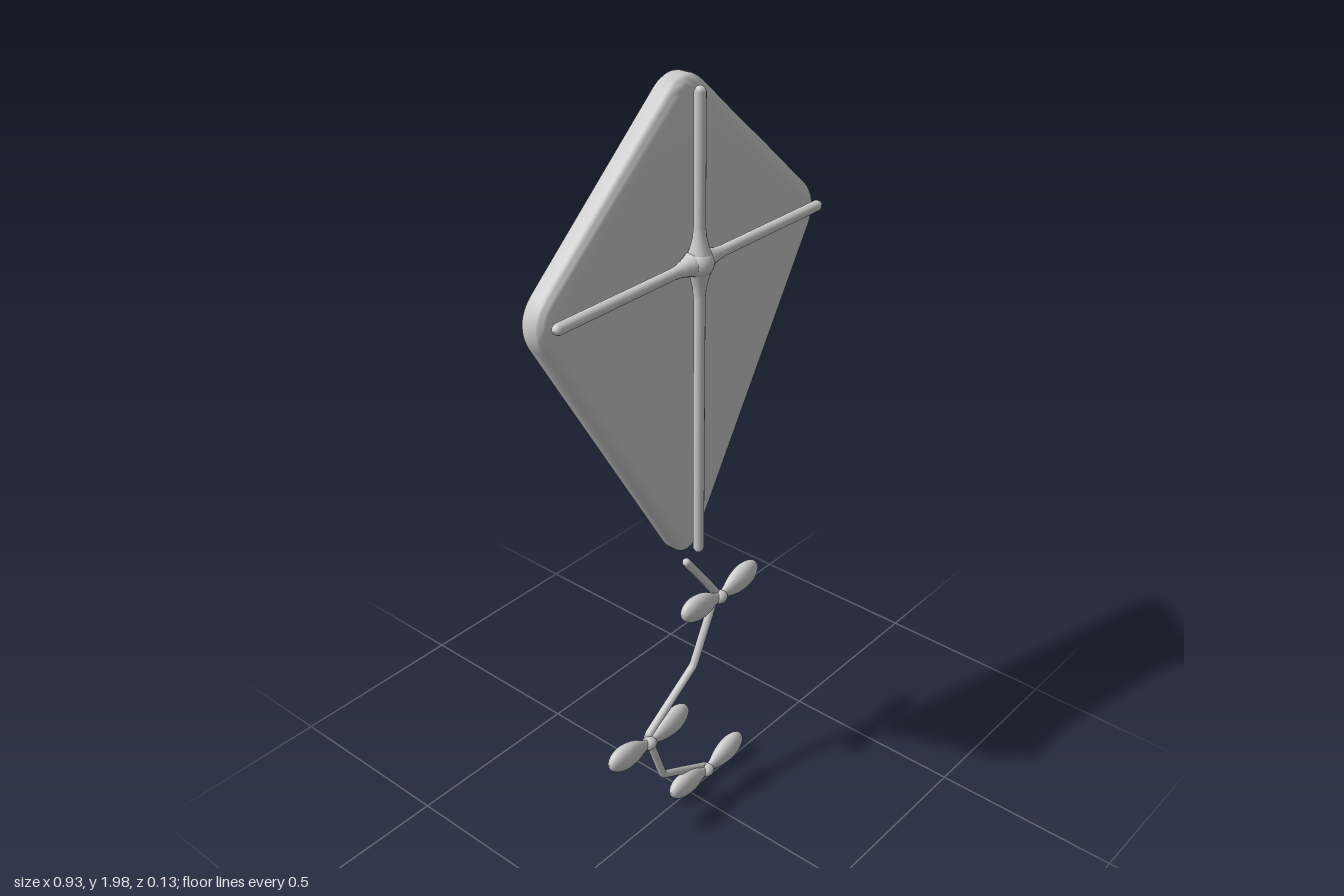
import * as THREE from 'three';
import { toCreasedNormals } from 'three/addons/utils/BufferGeometryUtils.js';

const V2 = (x, y) => new THREE.Vector2(x, y);
const V3 = (x, y, z) => new THREE.Vector3(x, y, z);

export function createModel() {
  const grey = new THREE.MeshStandardMaterial({ color: 0xcccccc });
  grey.name = 'light grey';
  const group = new THREE.Group();
  group.name = 'kite';

  const add = (name, geometry, parent = group) => {
    const mesh = new THREE.Mesh(geometry, grey);
    mesh.name = name;
    parent.add(mesh);
    return mesh;
  };

  // Sail: rounded kite outline with a soft bevel; each corner is x, y, cut length
  const corners = [[0, 1.978, 0.045], [-0.445, 1.582, 0.05], [0, 0.838, 0.02], [0.445, 1.582, 0.05]];
  const outline = new THREE.Shape();
  corners.forEach(([x, y, cut], i) => {
    const p = V2(x, y);
    const toward = (j) => {
      const q = corners[(j + 4) % 4];
      return V2(q[0], q[1]).sub(p).setLength(cut).add(p);
    };
    const a = toward(i - 1), b = toward(i + 1);
    if (i === 0) outline.moveTo(a.x, a.y);
    else outline.lineTo(a.x, a.y);
    outline.quadraticCurveTo(x, y, b.x, b.y);
  });
  outline.closePath();
  const sail = new THREE.ExtrudeGeometry(outline, {
    depth: 0.024, bevelThickness: 0.023, bevelSize: 0.035, bevelSegments: 6, curveSegments: 8,
  });
  sail.translate(0, 0, -0.042);
  add('sail', toCreasedNormals(sail, 0.7));

  // Spars: slim rods that swell into the hub, with rounded ends
  const spar = (below, above) => {
    const r = 0.0135;
    const pts = [
      [0, -below], [0.009, 0.004 - below], [r, 0.013 - below], [r, -0.085],
      [0.016, -0.06], [0.022, -0.035], [0.029, -0.016], [0.031, 0],
      [0.029, 0.016], [0.022, 0.035], [0.016, 0.06], [r, 0.085],
      [r, above - 0.013], [0.009, above - 0.004], [0, above],
    ];
    return new THREE.LatheGeometry(pts.map((p) => V2(...p)), 16);
  };
  const hubY = 1.587;
  add('uprightSpar', spar(0.765, 0.395)).position.set(0.002, hubY, 0.029);
  const crossSpar = add('crossSpar', spar(0.45, 0.45));
  crossSpar.rotation.z = -Math.PI / 2;
  crossSpar.position.set(0, hubY, 0.026);
  const hub = add('hub', new THREE.SphereGeometry(0.034, 20, 14));
  hub.position.set(0, hubY, 0.03);

  // Tail cord: straight runs between the bends
  const tailZ = -0.012;
  const bends = [[0.005, 0.77], [0.122, 0.615], [0.032, 0.43], [-0.15, 0.308], [-0.092, 0.138], [0.08, 0.05]]
    .map(([x, y]) => V3(x, y, tailZ));
  const cord = new THREE.CurvePath();
  for (let i = 1; i < bends.length; i++) cord.add(new THREE.LineCurve3(bends[i - 1], bends[i]));
  add('tailCord', new THREE.TubeGeometry(cord, 120, 0.011, 10));
  for (const i of [0, bends.length - 1]) {
    add('cordEnd', new THREE.SphereGeometry(0.011, 10, 8)).position.copy(bends[i]);
  }

  // Bows: two teardrop loops swept up from a small knot
  const loopProfile = new THREE.SplineCurve([
    V2(0.012, 0), V2(0.017, 0.022), V2(0.031, 0.055), V2(0.037, 0.09),
    V2(0.032, 0.122), V2(0.018, 0.144), V2(0, 0.152),
  ]).getPoints(20);
  loopProfile.forEach((p) => { p.x = Math.max(0, p.x); });
  const loopGeometry = new THREE.LatheGeometry(loopProfile, 20);
  const addBow = (x, y, tilt) => {
    const bow = new THREE.Group();
    bow.name = 'bow';
    bow.position.set(x, y, -0.001);
    bow.rotation.z = tilt;
    for (const side of [-1, 1]) {
      const loop = add(side < 0 ? 'rightLoop' : 'leftLoop', loopGeometry, bow);
      loop.rotation.z = -side * (Math.PI / 2 - 0.17);
      loop.scale.z = 0.65;
    }
    add('knot', new THREE.SphereGeometry(0.02, 16, 12), bow).scale.set(1.1, 0.9, 0.95);
    group.add(bow);
  };
  addBow(0.125, 0.604, 0);
  addBow(-0.155, 0.295, 0);
  addBow(0.077, 0.044, 0.03);

  return group;
}
